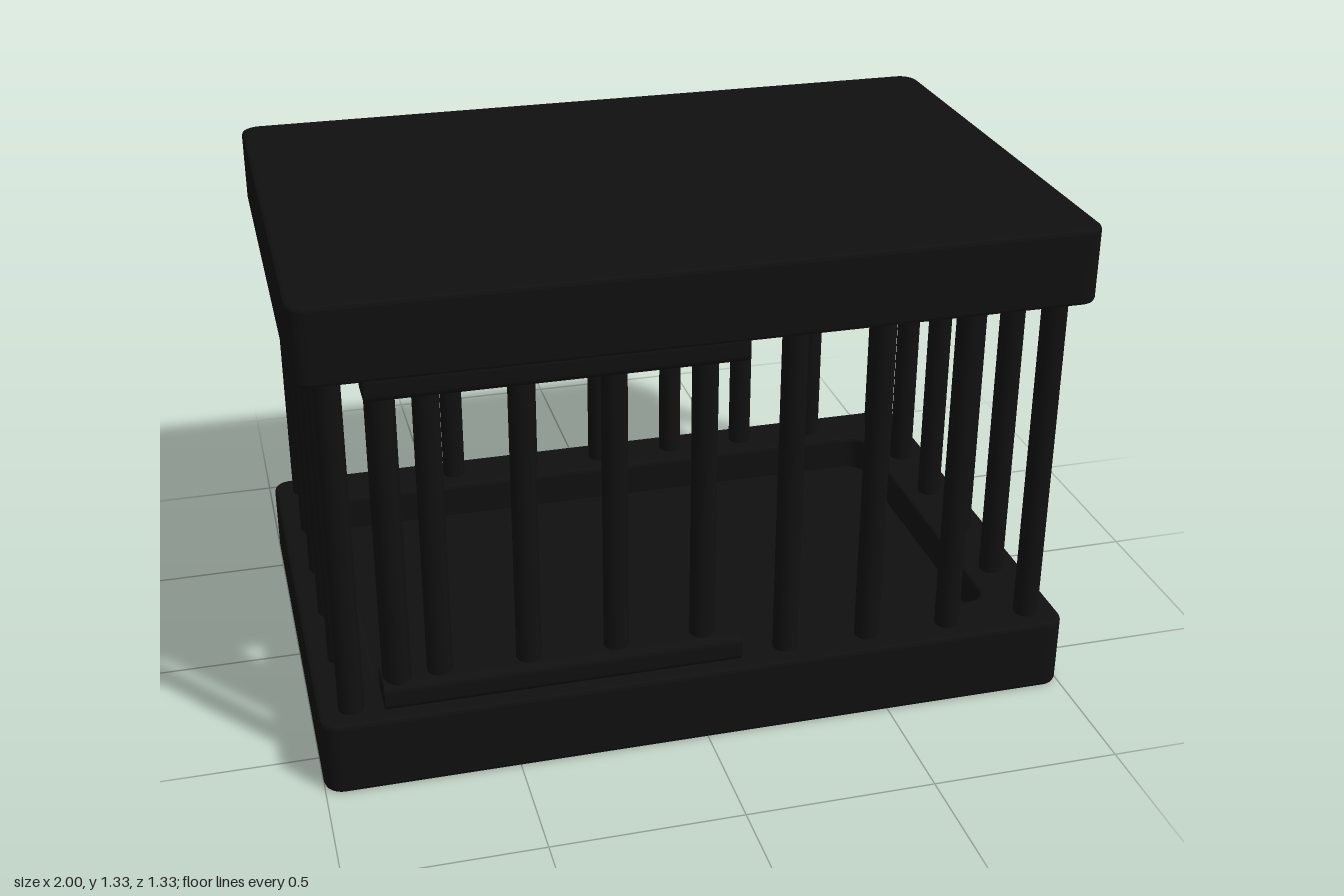
import * as THREE from 'three';

const material = new THREE.MeshStandardMaterial({ color: 0x101010 });

function roundedRect(path, hx, hz, r) {
  path.moveTo(-hx + r, -hz);
  path.lineTo(hx - r, -hz);
  path.absarc(hx - r, -hz + r, r, -Math.PI / 2, 0);
  path.lineTo(hx, hz - r);
  path.absarc(hx - r, hz - r, r, 0, Math.PI / 2);
  path.lineTo(-hx + r, hz);
  path.absarc(-hx + r, hz - r, r, Math.PI / 2, Math.PI);
  path.lineTo(-hx, -hz + r);
  path.absarc(-hx + r, -hz + r, r, Math.PI, Math.PI * 1.5);
  return path;
}

// Upright slab from y0 to y1 with softened edges
function slab(shape, y0, y1, bevel) {
  const geometry = new THREE.ExtrudeGeometry(shape, {
    depth: y1 - y0 - 2 * bevel, bevelEnabled: bevel > 0,
    bevelThickness: bevel, bevelSize: bevel, bevelOffset: -bevel,
    bevelSegments: 2, curveSegments: 6,
  });
  geometry.rotateX(-Math.PI / 2);
  geometry.translate(0, y0 + bevel, 0);
  return geometry;
}

function addMesh(parent, name, geometry) {
  const mesh = new THREE.Mesh(geometry, material);
  mesh.name = name;
  parent.add(mesh);
  return mesh;
}

// Shallow tray: a raised rim around a recessed panel
function makeTray(name) {
  const tray = new THREE.Group();
  tray.name = name;
  const rim = roundedRect(new THREE.Shape(), 1, 0.665, 0.05);
  rim.holes.push(roundedRect(new THREE.Path(), 0.835, 0.5, 0.05));
  addMesh(tray, name + 'Rim', slab(rim, 0, 0.2, 0.01));
  const panel = roundedRect(new THREE.Shape(), 0.85, 0.515, 0.05);
  addMesh(tray, name + 'Panel', slab(panel, 0, 0.1, 0));
  return tray;
}

export function createModel() {
  const cage = new THREE.Group();
  cage.name = 'cage';

  // Floor tray and the same tray turned over as the roof
  cage.add(makeTray('base'));
  const roof = makeTray('roof');
  roof.rotation.x = Math.PI;
  roof.position.y = 1.33;
  cage.add(roof);

  // Bars around all four sides
  const bars = new THREE.Group();
  bars.name = 'bars';
  cage.add(bars);
  const barGeometry = new THREE.CylinderGeometry(0.033, 0.033, 0.97, 16);
  const addBar = (x, z) =>
    addMesh(bars, 'bar', barGeometry).position.set(x, 0.665, z);
  for (let i = 0; i < 9; i++) {
    const x = -0.915 + i * 0.22875;
    addBar(x, 0.585);
    addBar(x, -0.585);
  }
  for (let i = 1; i < 5; i++) {
    const z = -0.585 + i * 0.234;
    addBar(0.915, z);
    addBar(-0.915, z);
  }

  // Door: hinge post with a rounded rail at top and bottom
  const door = new THREE.Group();
  door.name = 'door';
  cage.add(door);
  const post = addMesh(door, 'hingePost', new THREE.CylinderGeometry(0.037, 0.037, 0.92, 16));
  post.scale.z = 1.32;
  post.position.set(-0.795, 0.67, 0.584);
  const profile = roundedRect(new THREE.Shape(), 0.056, 0.036, 0.02);
  const railGeometry = new THREE.ExtrudeGeometry(profile, {
    depth: 0.93, bevelEnabled: false, curveSegments: 4,
  });
  railGeometry.rotateY(Math.PI / 2);
  for (const y of [0.244, 1.1]) {
    addMesh(door, 'doorRail', railGeometry).position.set(-0.835, y, 0.585);
  }

  return cage;
}
